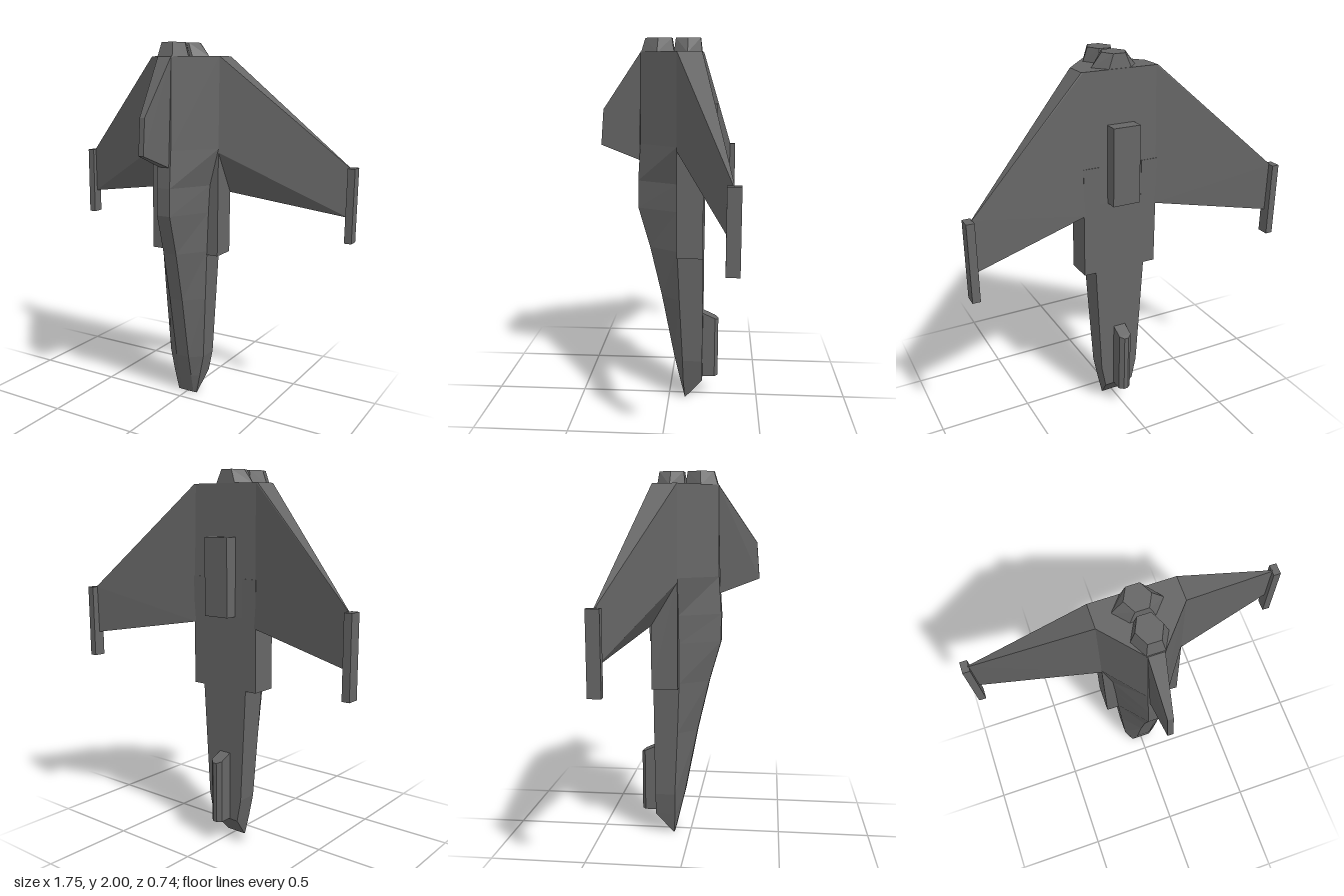
import * as THREE from 'three';
import { ConvexGeometry } from 'three/addons/geometries/ConvexGeometry.js';

const hullGrey = new THREE.MeshStandardMaterial({ color: 0x666666, flatShading: true });
hullGrey.name = 'hullGrey';

export function createModel() {
  const model = new THREE.Group();
  model.name = 'spacecraft';

  const add = (name, geometry, x = 0, y = 0, z = 0) => {
    const mesh = new THREE.Mesh(geometry, hullGrey);
    mesh.name = name;
    mesh.position.set(x, y, z);
    model.add(mesh);
    return mesh;
  };
  const hull = (pts) => new ConvexGeometry(pts.map((p) => new THREE.Vector3(...p)));
  // Box from its limits on each axis
  const box = (name, x0, x1, y0, y1, z0, z1) =>
    add(name, new THREE.BoxGeometry(x1 - x0, y1 - y0, z1 - z0), (x0 + x1) / 2, (y0 + y1) / 2, (z0 + z1) / 2);

  // Flat-faced skin over a stack of rings, closed at both ends
  const loft = (rings) => {
    const out = [];
    const tri = (...pts) => pts.forEach((p) => out.push(...p));
    const n = rings[0].length;
    for (let i = 0; i < rings.length - 1; i++) {
      for (let j = 0; j < n; j++) {
        const k = (j + 1) % n;
        tri(rings[i][j], rings[i + 1][j], rings[i][k]);
        tri(rings[i][k], rings[i + 1][j], rings[i + 1][k]);
      }
    }
    const end = rings[rings.length - 1];
    for (let j = 1; j < n - 1; j++) {
      tri(rings[0][0], rings[0][j], rings[0][j + 1]);
      tri(end[0], end[j + 1], end[j]);
    }
    const g = new THREE.BufferGeometry();
    g.setAttribute('position', new THREE.Float32BufferAttribute(out, 3));
    g.computeVertexNormals();
    return g;
  };

  // Fuselage stations: y, half width, side edge z, ridge half width, ridge z, belly z
  const stations = [
    [0, 0.06, -0.09, 0.04, -0.088, -0.095],
    [0.115, 0.085, -0.083, 0.04, -0.06, -0.19],
    [0.24, 0.11, -0.08, 0.04, -0.03, -0.19],
    [0.6, 0.13, -0.062, 0.04, 0.04, -0.19],
    [0.88, 0.145, -0.05, 0.04, 0.105, -0.19],
    [1.1, 0.152, -0.05, 0.04, 0.168, -0.19],
    [1.25, 0.16, -0.05, 0.04, 0.168, -0.19],
    [1.45, 0.21, -0.05, 0.04, 0.155, -0.187],
    [1.93, 0.21, -0.05, 0.04, 0.15, -0.177],
  ];
  add('fuselage', loft(stations.map(([y, w, e, r, t, b]) =>
    [[w, y, b], [w, y, e], [r, y, t], [-r, y, t], [-w, y, e], [-w, y, b]])));

  // Dorsal fin: widest where it meets the ridge
  const fin = [];
  for (const s of [1, -1]) {
    fin.push([s * 0.04, 1.93, 0.148], [s * 0.03, 1.36, 0.16],
      [s * 0.015, 1.63, 0.355], [s * 0.015, 1.44, 0.37]);
  }
  add('dorsalFin', hull(fin));

  for (const s of [1, -1]) {
    const side = s > 0 ? 'left' : 'right';
    // Swept, drooping wing, thick at the root and thin at the tip
    add(side + 'Wing', hull([
      [s * 0.2, 1.93, -0.05], [s * 0.2, 1.43, -0.05], [s * 0.2, 1.2, -0.19], [s * 0.2, 1.93, -0.177],
      [s * 0.21, 1.93, -0.05], [s * 0.21, 1.43, -0.05], [s * 0.21, 1.2, -0.19], [s * 0.21, 1.93, -0.177],
      [s * 0.84, 1.36, -0.332], [s * 0.84, 1.095, -0.335], [s * 0.84, 1.36, -0.338],
    ]));
    // Wing tip gun
    const a = s * 0.835, b = s * 0.875;
    box(side + 'TipGun', Math.min(a, b), Math.max(a, b), 0.96, 1.36, -0.37, -0.305);
    // Intake beside the fuselage
    const c = s * 0.12, d = s * 0.21;
    box(side + 'Intake', Math.min(c, d), Math.max(c, d), 0.86, 1.45, -0.19, -0.05);
  }

  // Six-sided engine nozzles
  const hex = (y, rx, rz, z) => [0, 1, 2, 3, 4, 5].map((i) => {
    const t = (i * Math.PI) / 3;
    return [rx * Math.cos(t), y, z + rz * Math.sin(t)];
  });
  add('lowerNozzle', hull([...hex(1.925, 0.125, 0.085, -0.1), ...hex(2, 0.065, 0.075, -0.1)]));
  add('upperNozzle', hull([...hex(1.925, 0.09, 0.1, 0.06), ...hex(2, 0.065, 0.08, 0.055)]));

  // Belly plate
  box('bellyPlate', -0.075, 0.075, 1.25, 1.66, -0.255, -0.18);

  // Chamfered gun under the nose, with a sloping rear end
  const gun = [];
  for (const s of [1, -1]) {
    for (const [x, z, top] of [[0.035, -0.185, 0.5], [0.035, -0.258, 0.467], [0.012, -0.277, 0.457]]) {
      gun.push([s * x, 0.12, z], [s * x, top, z]);
    }
  }
  add('noseGun', hull(gun));

  return model;
}
